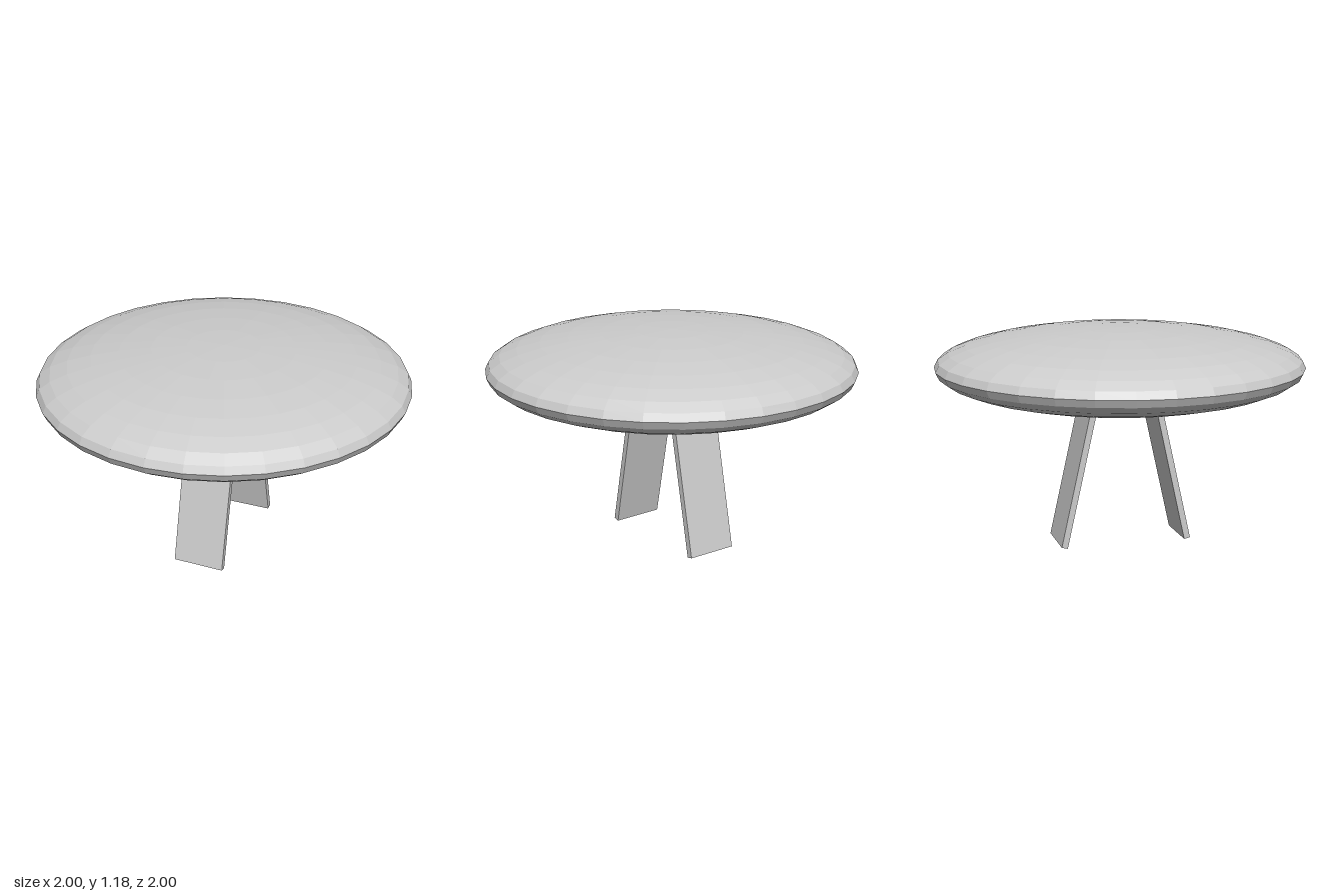
import * as THREE from 'three';

export function createModel() {
  const model = new THREE.Group();
  model.name = 'discTable';
  const material = new THREE.MeshStandardMaterial({ color: 0xcccccc, flatShading: true });

  // Flattened, faceted sphere as the top
  const top = new THREE.Mesh(new THREE.SphereGeometry(1, 32, 16).scale(1, 0.206, 1), material);
  top.name = 'discTop';
  top.position.y = 0.974;
  model.add(top);

  // Two flat plank legs, splayed outwards and running up into the disc
  const plank = new THREE.BoxGeometry(0.28, 0.83, 0.034);
  for (const [name, turn] of [['frontLeg', 0], ['backLeg', Math.PI]]) {
    const leg = new THREE.Group();
    leg.name = name;
    leg.rotation.y = turn;
    const mesh = new THREE.Mesh(plank, material);
    mesh.name = name + 'Plank';
    mesh.position.set(0, 0.411, 0.258);
    mesh.rotation.set(-0.217, 0, -0.008);
    leg.add(mesh);
    model.add(leg);
  }

  return model;
}
